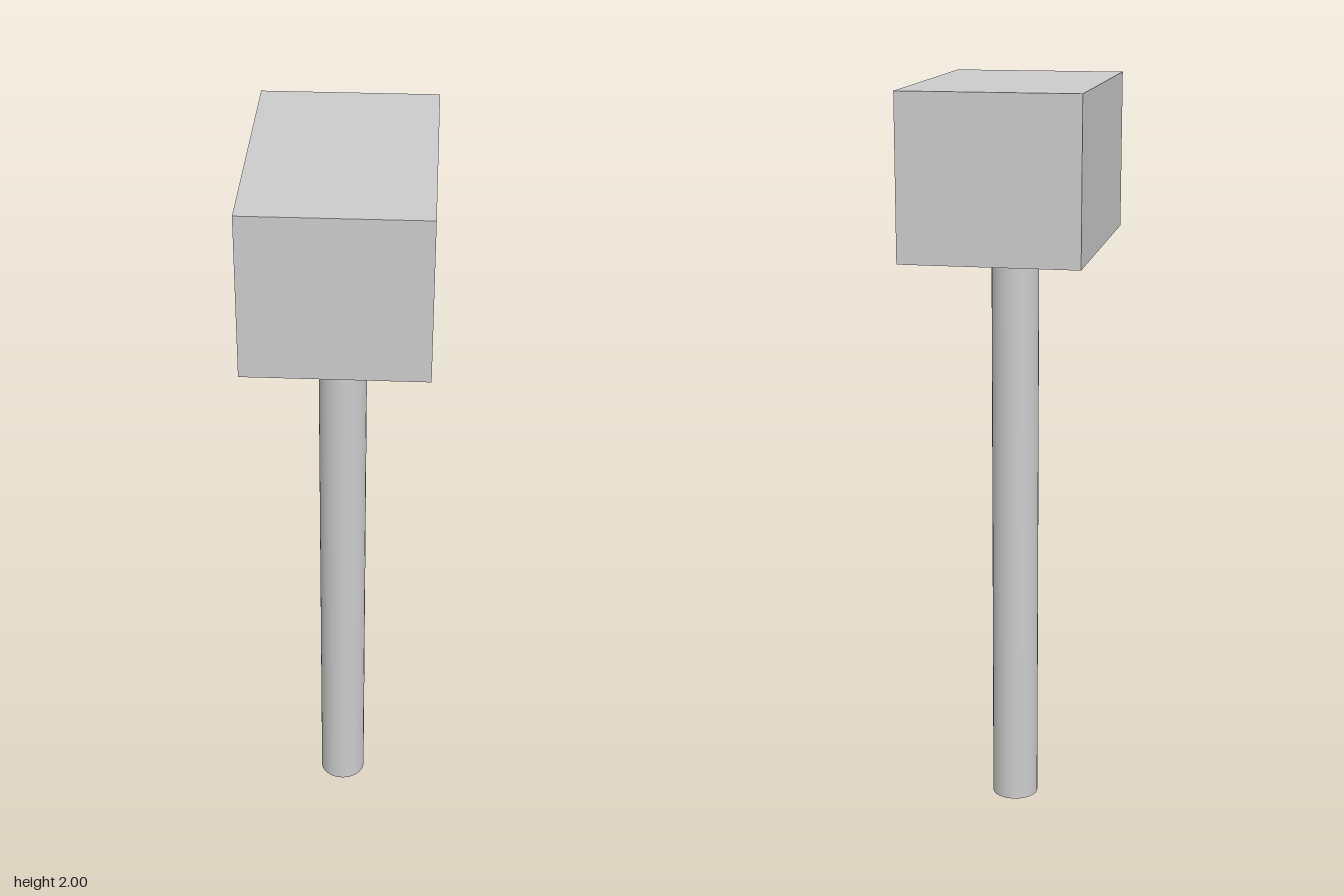
import * as THREE from 'three';

const HEIGHT = 2;
const HEAD = { width: 0.462, height: 0.423, depth: 0.73 };
const HANDLE_RADIUS = 0.063;

export function createModel() {
  const model = new THREE.Group();
  model.name = 'mallet';
  const material = new THREE.MeshStandardMaterial({ color: 0xcccccc });

  // Block head, longest from front to back
  const head = new THREE.Mesh(new THREE.BoxGeometry(HEAD.width, HEAD.height, HEAD.depth), material);
  head.name = 'head';
  head.position.y = HEIGHT - HEAD.height / 2;

  // Round handle, from the ground to the underside of the head
  const length = HEIGHT - HEAD.height;
  const handle = new THREE.Mesh(new THREE.CylinderGeometry(HANDLE_RADIUS, HANDLE_RADIUS, length, 32), material);
  handle.name = 'handle';
  handle.position.y = length / 2;

  model.add(head, handle);
  return model;
}
